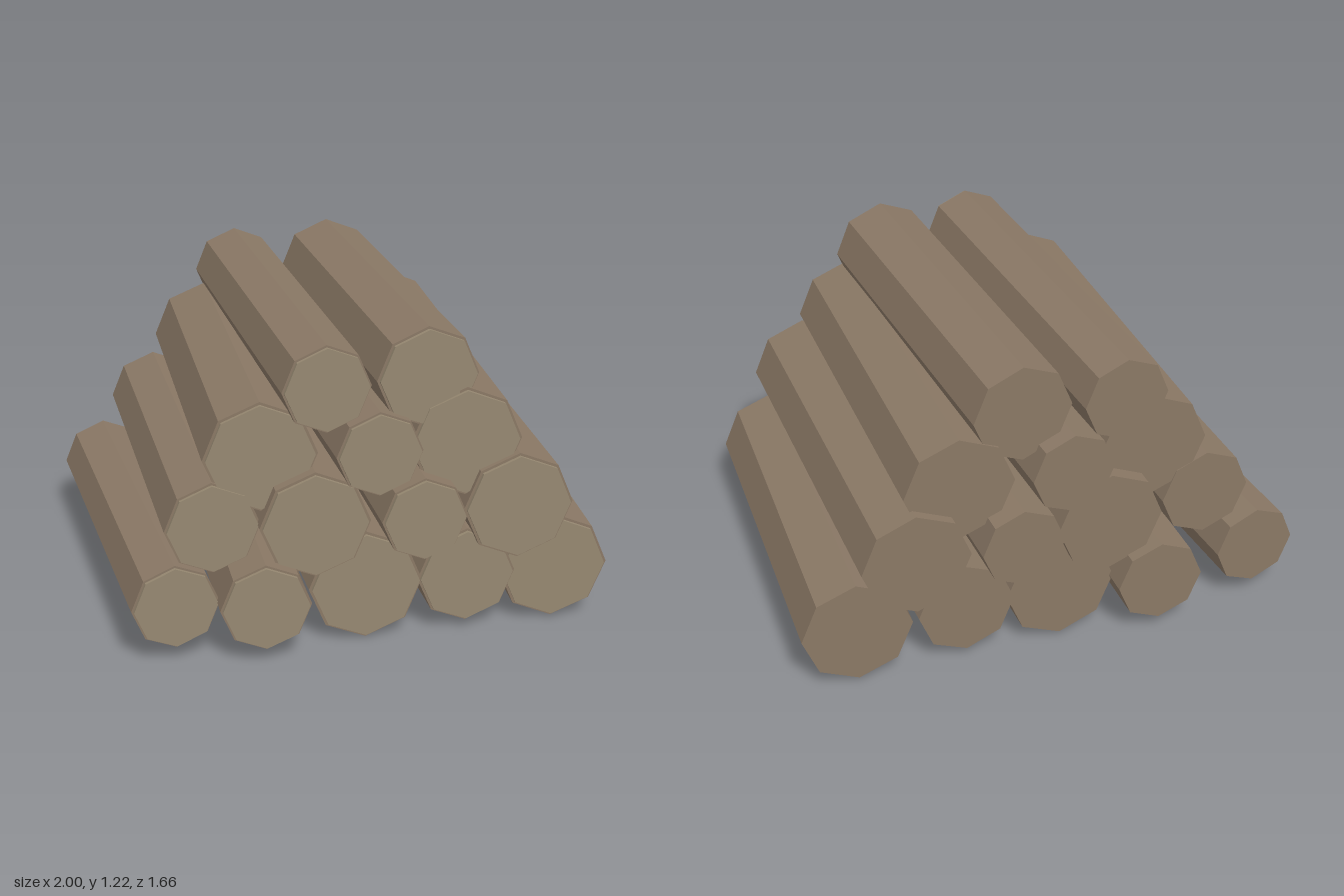
import * as THREE from 'three';

const bark = new THREE.MeshStandardMaterial({ color: 0x8a7865, flatShading: true });
const cutWood = new THREE.MeshStandardMaterial({ color: 0x968871, flatShading: true });

// Each row: height of the log centres, then [frontX, backX, radius, halfLength] per log
const rows = [
  { y: 0.225, logs: [
    [-0.745, -0.835, 0.165, 0.745], [-0.425, -0.39, 0.17, 0.825], [-0.027, -0.02, 0.217, 0.72],
    [0.363, 0.36, 0.19, 0.72], [0.705, 0.787, 0.212, 0.715]] },
  { y: 0.515, logs: [
    [-0.6, -0.612, 0.178, 0.72], [-0.23, -0.195, 0.207, 0.775],
    [0.172, 0.168, 0.162, 0.815], [0.543, 0.57, 0.21, 0.772]] },
  { y: 0.775, logs: [
    [-0.42, -0.385, 0.212, 0.715], [0.008, -0.038, 0.163, 0.785], [0.345, 0.39, 0.212, 0.735]] },
  { y: 1.035, logs: [
    [-0.185, -0.245, 0.166, 0.768], [0.2, 0.142, 0.193, 0.725]] },
];

const CAP = 0.014;

// Eight-sided prism lying along z, from z0 to z1
function prism(radius, z0, z1) {
  const g = new THREE.CylinderGeometry(radius, radius, z1 - z0, 8);
  g.rotateX(Math.PI / 2);
  g.translate(0, 0, (z0 + z1) / 2);
  return g;
}

function makeLog(y, [frontX, backX, radius, half]) {
  const log = new THREE.Group();
  const trunk = new THREE.Mesh(prism(radius, -half, half - CAP), bark);
  trunk.name = 'trunk';
  // Slightly smaller sawn face standing proud of the front end
  const face = new THREE.Mesh(prism(radius * 0.95, half - CAP - 0.01, half), cutWood);
  face.name = 'sawnFace';
  log.add(trunk, face);
  log.position.set((frontX + backX) / 2, y, 0);
  log.rotation.y = Math.atan2(frontX - backX, 2 * half);
  return log;
}

export function createModel() {
  const pile = new THREE.Group();
  pile.name = 'logPile';
  rows.forEach(({ y, logs }, r) => {
    const row = new THREE.Group();
    row.name = `logRow${r + 1}`;
    logs.forEach((spec, i) => {
      const log = makeLog(y, spec);
      log.name = `log${r + 1}_${i + 1}`;
      row.add(log);
    });
    pile.add(row);
  });
  return pile;
}
